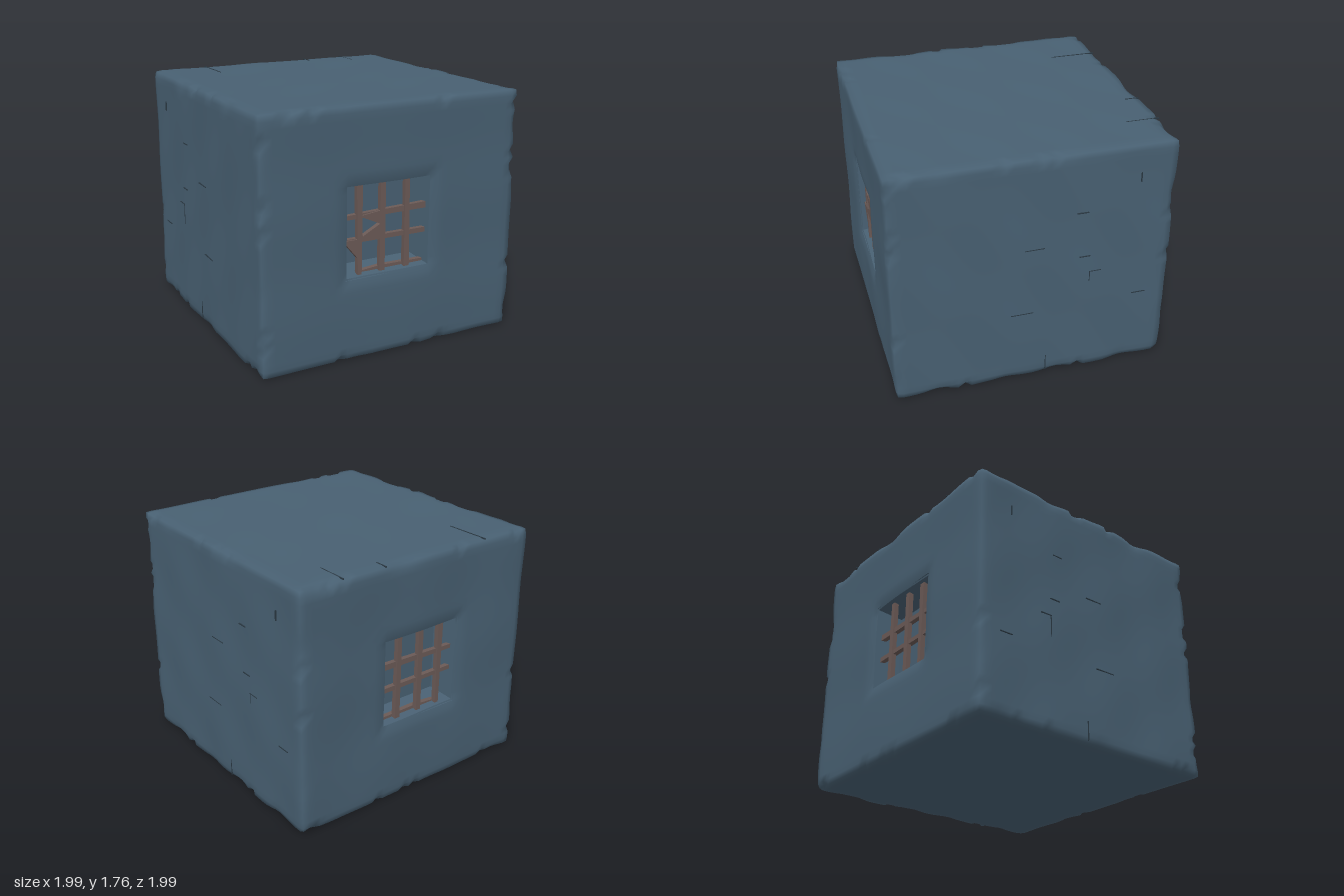
import * as THREE from 'three';
import { mergeVertices } from 'three/addons/utils/BufferGeometryUtils.js';

const W = 1.97, H = 1.76, HALF = W / 2, MID = H / 2;
// window opening in both the front and the back wall
const WIN = { x0: -0.355, x1: 0.287, y0: 0.587, y1: 1.222 };

const stone = new THREE.MeshStandardMaterial({ color: 0x486072 });
stone.name = 'slate stone';
const crackMat = new THREE.MeshStandardMaterial({ color: 0x2a3842 });
crackMat.name = 'dark crack';
const iron = new THREE.MeshStandardMaterial({ color: 0x6b5a56 });
iron.name = 'rusty iron';

// smooth repeatable unevenness, about -1..1
const wave = (x, y, z) =>
  (Math.sin(5.1 * x + 2.3 * y + 1.7) + Math.sin(6.7 * y - 3.9 * z + 0.4) + Math.sin(7.3 * z + 4.1 * x + 2.9)) / 3;
// repeatable value in 0..1 for each point
const hash = (x, y, z) => {
  const s = Math.sin(x * 127.1 + y * 311.7 + z * 74.7) * 43758.5453;
  return s - Math.floor(s);
};

function stoneBlock() {
  const box = new THREE.BoxGeometry(W, H, W, 40, 36, 40);
  box.deleteAttribute('normal');
  box.deleteAttribute('uv');
  const geo = mergeVertices(box);
  geo.clearGroups();
  const pos = geo.attributes.position, index = geo.index.array, kept = [];

  // leave out the triangles of the two window openings
  for (let i = 0; i < index.length; i += 3) {
    const c = new THREE.Vector3();
    for (let k = 0; k < 3; k++) c.add(new THREE.Vector3().fromBufferAttribute(pos, index[i + k]));
    c.divideScalar(3);
    const open = Math.abs(c.z) > HALF - 0.001 && c.x > -0.345 && c.x < 0.296 &&
      c.y + MID > WIN.y0 - 0.001 && c.y + MID < WIN.y1 + 0.001;
    if (!open) kept.push(index[i], index[i + 1], index[i + 2]);
  }
  geo.setIndex(kept);

  // worn edges, chips and a gently uneven surface
  const p = new THREE.Vector3(), inner = new THREE.Vector3(), d = new THREE.Vector3();
  for (let i = 0; i < pos.count; i++) {
    p.fromBufferAttribute(pos, i);
    const { x, y, z } = p;
    const onX = Math.abs(x) > HALF - 0.001, onY = Math.abs(y) > MID - 0.001, onZ = Math.abs(z) > HALF - 0.001;
    const edges = onX + onY + onZ;
    const n = wave(2 * x, 2 * y, 2 * z);
    const r = 0.022 + 0.07 * Math.max(0, n) ** 2;
    inner.set(
      THREE.MathUtils.clamp(x, -HALF + r, HALF - r),
      THREE.MathUtils.clamp(y, -MID + r, MID - r),
      THREE.MathUtils.clamp(z, -HALF + r, HALF - r));
    d.subVectors(p, inner).normalize();
    p.copy(inner).addScaledVector(d, r);
    const chip = edges > 1 && hash(x, y, z) > 0.9 ? 0.03 : 0;
    const bump = 0.008 * wave(1.7 * x + 1, 1.3 * y, 1.7 * z);
    p.addScaledVector(d, (onY && edges === 1 ? 0.3 : 1) * bump - chip);
    if (onZ && !onX) {
      // ease the wall inward around the window
      p.x -= 0.01 * Math.cos(Math.PI * x / W);
      const dx = Math.max(WIN.x0 - p.x, p.x - WIN.x1), dy = Math.max(WIN.y0 - y - MID, y + MID - WIN.y1);
      const away = Math.max(dx, dy, 0);
      p.z -= Math.sign(z) * 0.02 * Math.max(0, 1 - away / 0.06);
    }
    pos.setXYZ(i, p.x, p.y + MID, p.z);
  }
  geo.computeVertexNormals();
  const mesh = new THREE.Mesh(geo, stone);
  mesh.name = 'stoneBlock';
  return mesh;
}

// slightly tapered pocket behind a window; side is +1 for front, -1 for back
function windowRecess(side) {
  const ring = (z, t) => [
    [WIN.x0 + t, WIN.y0 + t, z], [WIN.x1 - t, WIN.y0 + t, z],
    [WIN.x1 - t, WIN.y1 - t, z], [WIN.x0 + t, WIN.y1 - t, z]];
  const a = ring(side * 0.968, -0.012), b = ring(side * 0.78, 0.035), verts = [];
  const quad = (...q) => [0, 1, 2, 0, 2, 3].forEach(k => verts.push(...q[k]));
  for (let i = 0; i < 4; i++) {
    const j = (i + 1) % 4;
    side > 0 ? quad(a[i], a[j], b[j], b[i]) : quad(a[j], a[i], b[i], b[j]);
  }
  side > 0 ? quad(...b) : quad(...b.slice().reverse());
  const geo = new THREE.BufferGeometry();
  geo.setAttribute('position', new THREE.Float32BufferAttribute(verts, 3));
  geo.computeVertexNormals();
  const mesh = new THREE.Mesh(geo, stone);
  mesh.name = 'windowRecess';
  return mesh;
}

// flat iron piece from an outline with an optional hole
function ironPiece(name, points, z, hole) {
  const toV = list => list.map(([x, y]) => new THREE.Vector2(x, y));
  const shape = new THREE.Shape(toV(points));
  if (hole) shape.holes.push(new THREE.Path(toV(hole)));
  const mesh = new THREE.Mesh(new THREE.ExtrudeGeometry(shape, { depth: 0.035, bevelEnabled: false }), iron);
  mesh.position.z = z - 0.0175;
  mesh.name = name;
  return mesh;
}

function barGrid(side) {
  const grid = new THREE.Group();
  grid.name = side > 0 ? 'frontBars' : 'backBars';
  const z = side * 0.915;
  // upright bars: top x, bottom x, top width, bottom width
  [[-0.24, -0.235, 0.045, 0.03], [-0.06, -0.06, 0.04, 0.04], [0.13, 0.135, 0.035, 0.042]].forEach(([t, b, wt, wb]) =>
    grid.add(ironPiece('uprightBar', [
      [b - wb / 2, WIN.y0], [b + wb / 2, WIN.y0], [t + wt / 2, WIN.y1], [t - wt / 2, WIN.y1]], z)));
  // cross bars: left y, right y, left width, right width
  [[0.995, 1.005, 0.03, 0.045], [0.83, 0.825, 0.03, 0.035]].forEach(([l, r, wl, wr]) =>
    grid.add(ironPiece('crossBar', [
      [WIN.x0, l - wl / 2], [WIN.x1, r - wr / 2], [WIN.x1, r + wr / 2], [WIN.x0, l + wl / 2]], z - side * 0.012)));
  grid.add(ironPiece('sillBar', [[-0.24, 0.588], [0.28, 0.588], [0.28, 0.61], [-0.06, 0.615], [-0.24, 0.6]], z - side * 0.03));
  if (side > 0) {
    // bent plates caught in the front bars
    grid.add(ironPiece('bentPlate', [[-0.24, 0.82], [-0.05, 0.82], [-0.05, 1.02], [-0.24, 1.0]], z,
      [[-0.222, 0.99], [-0.08, 0.925], [-0.215, 0.855]]));
    grid.add(ironPiece('bentCorner', [[-0.355, 0.83], [-0.23, 0.68], [-0.22, 0.84], [-0.345, 0.84]], z));
  }
  return grid;
}

// thin joint lines between worn bricks
function cracks() {
  const group = new THREE.Group();
  group.name = 'cracks';
  const add = (sx, sy, sz, x, y, z) => {
    const m = new THREE.Mesh(new THREE.BoxGeometry(sx, sy, sz), crackMat);
    m.position.set(x, y, z);
    m.name = 'crack';
    group.add(m);
  };
  // side walls: z, y, length along z, length along y
  const lines = [[0, 1.08, 0.14, 0], [-0.33, 1.31, 0.08, 0], [-0.36, 0.96, 0.08, 0], [-0.44, 0.83, 0.09, 0],
    [-0.4, 0.75, 0, 0.15], [0.08, 0.56, 0.16, 0], [-0.78, 0.58, 0.1, 0], [-0.73, 1.52, 0, 0.07], [-0.1, 0.09, 0, 0.13]];
  for (const s of [-1, 1])
    lines.forEach(([z, y, lz, ly]) => add(0.009, ly || 0.006, lz || 0.006, s * 0.986, y, z));
  // top: x, length from the back edge
  [[-0.57, 0.34], [0.31, 0.1], [0.65, 0.24]].forEach(([x, l]) => add(0.008, 0.009, l, x, H - 0.002, -0.98 + l / 2));
  return group;
}

export function createModel() {
  const model = new THREE.Group();
  model.name = 'barredStoneBlock';
  model.add(stoneBlock(), cracks());
  for (const side of [1, -1]) model.add(windowRecess(side), barGrid(side));
  return model;
}
